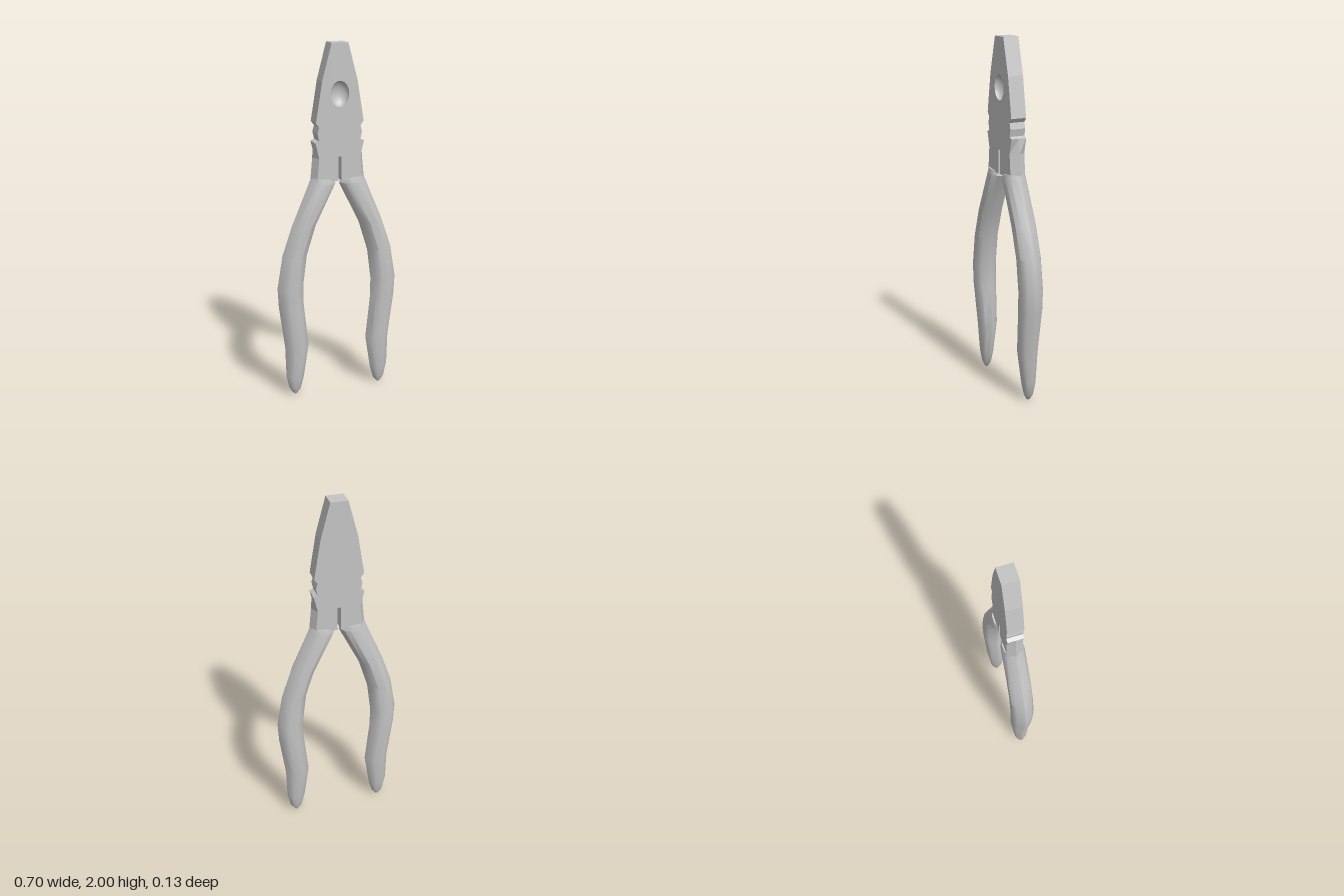
import * as THREE from 'three';
import { toCreasedNormals } from 'three/addons/utils/BufferGeometryUtils.js';

const steel = new THREE.MeshStandardMaterial({ color: 0xc4c4c4, side: THREE.DoubleSide });
steel.name = 'grey steel';

const HALF = 0.045; // half thickness of the head
const DIMPLE = { y: 1.73, rx: 0.052, ry: 0.07, depth: 0.04 };

function part(name, geometry) {
  const mesh = new THREE.Mesh(geometry, steel);
  mesh.name = name;
  return mesh;
}

// Head plate: jaws, side notches, waist and the slot between the arms
function headGeometry() {
  const right = [
    [0.047, 2], [0.1, 1.8], [0.136, 1.578], [0.118, 1.555], [0.127, 1.52],
    [0.118, 1.48], [0.139, 1.47], [0.118, 1.385], [0.13, 1.255],
    [0.009, 1.255], [0.009, 1.39],
  ].map(([x, y]) => new THREE.Vector2(x, y));
  const left = right.map((p) => new THREE.Vector2(-p.x, p.y)).reverse();
  const shape = new THREE.Shape([...right, ...left]);
  const hole = new THREE.Path();
  hole.absellipse(0, DIMPLE.y, DIMPLE.rx, DIMPLE.ry, 0, Math.PI * 2, true);
  shape.holes.push(hole);
  const geometry = new THREE.ExtrudeGeometry(shape, {
    depth: HALF * 2, steps: 2, bevelEnabled: false, curveSegments: 12,
  });
  geometry.translate(0, 0, -HALF);
  // Pull the middle of the waist outwards into a ridge
  const pos = geometry.attributes.position;
  for (let i = 0; i < pos.count; i++) {
    const x = pos.getX(i);
    if (Math.abs(pos.getZ(i)) < 0.001 && pos.getY(i) < 1.4 && Math.abs(x) > 0.1) {
      pos.setX(i, x + Math.sign(x) * 0.026);
    }
  }
  geometry.computeVertexNormals();
  return geometry;
}

// Round hollow in the front of the jaws
function dimpleGeometry() {
  const profile = [];
  for (let i = 0; i <= 8; i++) {
    const a = (i / 8) * Math.PI / 2;
    profile.push(new THREE.Vector2(Math.sin(a), -Math.cos(a)));
  }
  const geometry = new THREE.LatheGeometry(profile, 24);
  geometry.rotateX(Math.PI / 2);
  geometry.scale(DIMPLE.rx, DIMPLE.ry, DIMPLE.depth);
  geometry.translate(0, DIMPLE.y, HALF);
  return geometry;
}

// Closes the back of the head behind the hollow
function backGeometry() {
  const geometry = new THREE.CircleGeometry(1, 24);
  geometry.rotateY(Math.PI);
  geometry.scale(DIMPLE.rx + 0.001, DIMPLE.ry + 0.001, 1);
  geometry.translate(0, DIMPLE.y, -HALF);
  return geometry;
}

// Handle stations: outer x, outer y, inner x, inner y, half depth
const STATIONS = [
  [0.152, 1.275, 0.022, 1.262, 0.056],
  [0.163, 1.245, 0.01, 1.235, 0.062],
  [0.265, 1.005, 0.127, 1.0, 0.065],
  [0.321, 0.84, 0.18, 0.83, 0.065],
  [0.352, 0.655, 0.202, 0.655, 0.065],
  [0.346, 0.54, 0.2, 0.54, 0.064],
  [0.313, 0.295, 0.174, 0.295, 0.054],
  [0.308, 0.115, 0.204, 0.1, 0.037],
  [0.291, 0.04, 0.224, 0.03, 0.024],
  [0.266, 0.005, 0.247, 0.002, 0.01],
];
// Cross-section: across the width, through the depth
const HALF_SECTION = [[1, 0], [0.7, 0.7], [0.33, 0.97], [-0.33, 0.97], [-0.7, 0.7], [-1, 0]];
const SECTION = [
  ...HALF_SECTION,
  ...HALF_SECTION.slice(1, -1).reverse().map(([u, v]) => [u, -v]),
];

function handleGeometry(side) {
  const n = SECTION.length;
  const last = STATIONS.length - 1;
  const points = [];
  const faces = [];
  const tri = (a, b, c) => (side > 0 ? faces.push(a, b, c) : faces.push(a, c, b));
  const centre = ([ox, oy, ix, iy]) => [side * (ox + ix) / 2, (oy + iy) / 2, 0];

  for (const station of STATIONS) {
    const [ox, oy, ix, iy, depth] = station;
    const [cx, cy] = centre(station);
    for (const [u, v] of SECTION) {
      points.push(cx + side * u * (ox - ix) / 2, cy + u * (oy - iy) / 2, v * depth);
    }
  }
  const top = points.length / 3;
  points.push(...centre(STATIONS[0]));
  const tip = centre(STATIONS[last]);
  points.push(tip[0], 0, 0);

  for (let j = 0; j < n; j++) {
    const k = (j + 1) % n;
    for (let i = 0; i < last; i++) {
      const a = i * n + j, b = i * n + k;
      tri(a, b, a + n);
      tri(b, b + n, a + n);
    }
    tri(top, k, j);
    tri(top + 1, last * n + j, last * n + k);
  }
  const geometry = new THREE.BufferGeometry();
  geometry.setAttribute('position', new THREE.Float32BufferAttribute(points, 3));
  geometry.setIndex(faces);
  return toCreasedNormals(geometry, 0.6);
}

export function createModel() {
  const model = new THREE.Group();
  model.name = 'pliers';

  const head = new THREE.Group();
  head.name = 'head';
  head.add(
    part('jawPlate', headGeometry()),
    part('jawHollow', dimpleGeometry()),
    part('jawBack', backGeometry()),
  );
  model.add(head);

  model.add(part('leftHandle', handleGeometry(1)));
  model.add(part('rightHandle', handleGeometry(-1)));
  return model;
}
